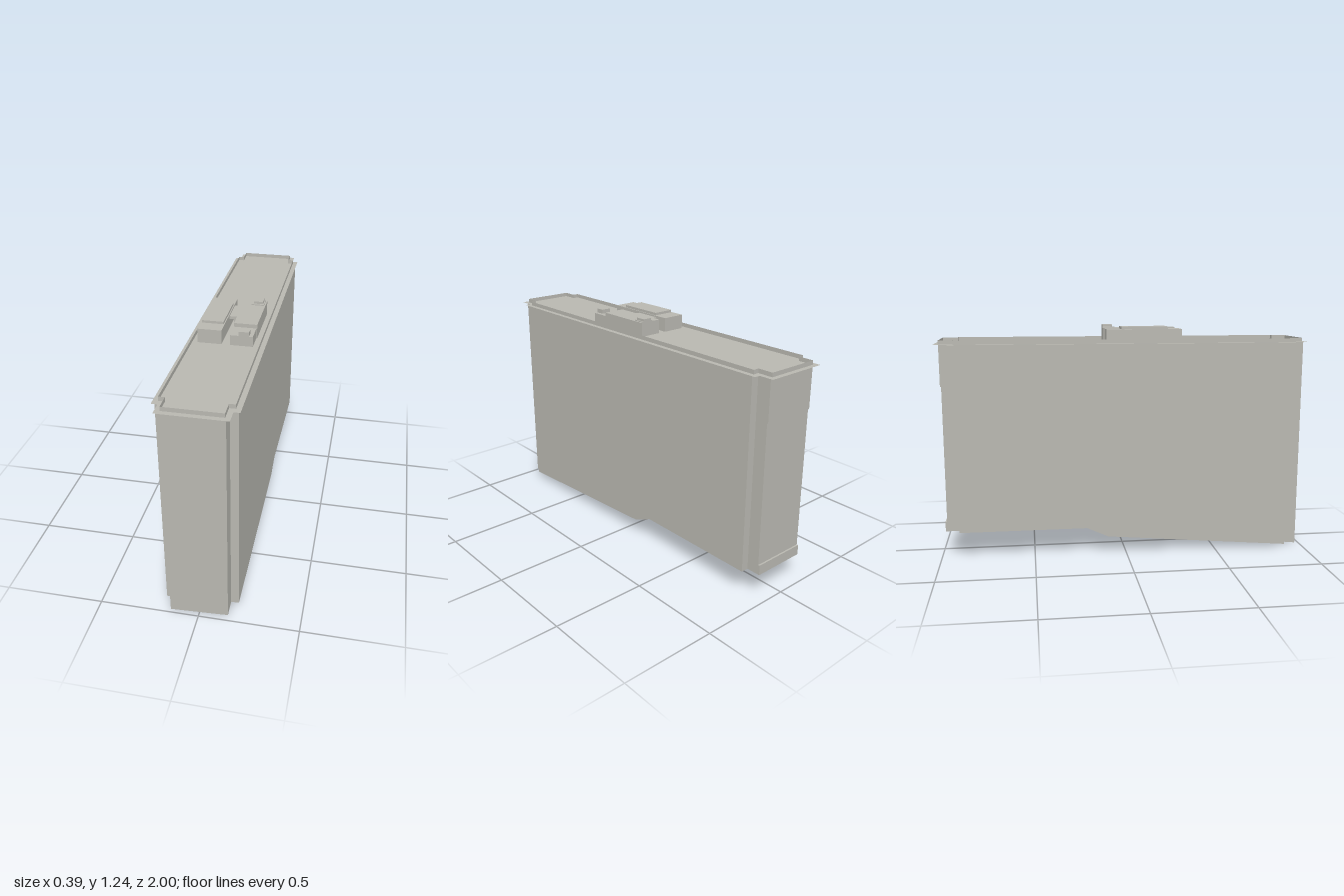
import * as THREE from 'three';

const TOP = 1.147;

// Vertical wall band following plan points [x, z, bottomY] up to a level top
function wallBand(points, top, material, name) {
  const pos = [];
  points.forEach((a, i) => {
    const b = points[(i + 1) % points.length];
    const p = [[a[0], a[2], a[1]], [b[0], b[2], b[1]], [b[0], top, b[1]], [a[0], top, a[1]]];
    for (const k of [0, 1, 2, 0, 2, 3]) pos.push(...p[k]);
  });
  const geo = new THREE.BufferGeometry();
  geo.setAttribute('position', new THREE.Float32BufferAttribute(pos, 3));
  geo.computeVertexNormals();
  const mesh = new THREE.Mesh(geo, material);
  mesh.name = name;
  return mesh;
}

// Rectangle with its four corners notched, in plan
function notchedPlan(x, z, nx, nz) {
  return [[nx, z], [nx, nz], [x, nz], [x, -nz], [nx, -nz], [nx, -z],
    [-nx, -z], [-nx, -nz], [-x, -nz], [-x, nz], [-nx, nz], [-nx, z]];
}

export function createModel() {
  const group = new THREE.Group();
  group.name = 'building';
  const concrete = new THREE.MeshStandardMaterial({ color: 0xb8b7b0, side: THREE.DoubleSide });
  concrete.name = 'concrete';

  // Hollow shell with a stepped, sloping lower edge
  group.add(wallBand([
    [0.145, 0.98, 0.016], [0.145, 0.905, 0.03], [0.185, 0.905, 0.033],
    [0.185, -0.1, 0.095], [0.185, -0.215, TOP - 1], [0.185, -0.9, TOP - 1],
    [0.145, -0.9, TOP - 1], [0.145, -0.966, TOP - 1],
    [-0.145, -0.966, TOP - 1], [-0.145, -0.9, TOP - 1],
    [-0.185, -0.9, TOP - 1], [-0.185, -0.215, TOP - 1], [-0.185, -0.1, 0.095],
    [-0.185, 0.905, 0.008], [-0.145, 0.905, 0.008], [-0.145, 0.98, 0],
  ], TOP, concrete, 'outerWalls'));

  // Roof deck that overhangs as a thin cornice
  const outline = notchedPlan(0.195, 1, 0.165, 0.925);
  const deckGeo = new THREE.ShapeGeometry(
    new THREE.Shape(outline.map(([x, z]) => new THREE.Vector2(x, -z))));
  deckGeo.rotateX(-Math.PI / 2);
  const deck = new THREE.Mesh(deckGeo, concrete);
  deck.name = 'roofDeck';
  deck.position.y = TOP;
  group.add(deck);

  // Thin parapet
  const parapet = notchedPlan(0.17, 0.975, 0.14, 0.895).map(([x, z]) => [x, z, TOP]);
  group.add(wallBand(parapet, 1.168, concrete, 'parapet'));

  // Axis-aligned block given by its limits
  const block = (name, x0, x1, y0, y1, z0, z1) => {
    const mesh = new THREE.Mesh(new THREE.BoxGeometry(x1 - x0, y1 - y0, z1 - z0), concrete);
    mesh.name = name;
    mesh.position.set((x0 + x1) / 2, (y0 + y1) / 2, (z0 + z1) / 2);
    group.add(mesh);
  };

  // Back end panels standing slightly proud
  block('upperEndPanel', -0.145, 0.145, 0.93, TOP, -0.972, -0.965);
  block('endPlinth', -0.145, 0.145, TOP - 1, 0.2, -0.975, -0.965);

  // Rooftop plant rooms, either side of an open channel
  block('leftPlantRoom', -0.143, -0.022, TOP, 1.22, -0.1, 0.305);
  block('leftRoofSlab', -0.138, -0.027, 1.22, 1.233, -0.02, 0.23);
  block('rightPlantRoom', 0.02, 0.138, TOP, 1.22, -0.1, 0.205);
  block('rightFrontRoom', 0.02, 0.134, TOP, 1.2, 0.205, 0.305);
  block('frontVent', 0.062, 0.115, 1.2, 1.222, 0.262, 0.305);
  block('backVent', 0.077, 0.124, 1.22, 1.237, -0.1, -0.045);
  block('backVentBase', 0.065, 0.13, 1.22, 1.225, -0.1, -0.035);
  block('channelBridge', -0.022, 0.02, 1.197, 1.212, -0.03, 0.11);
  block('channelPipe', 0, 0.014, TOP, 1.197, -0.03, 0.11);

  return group;
}
